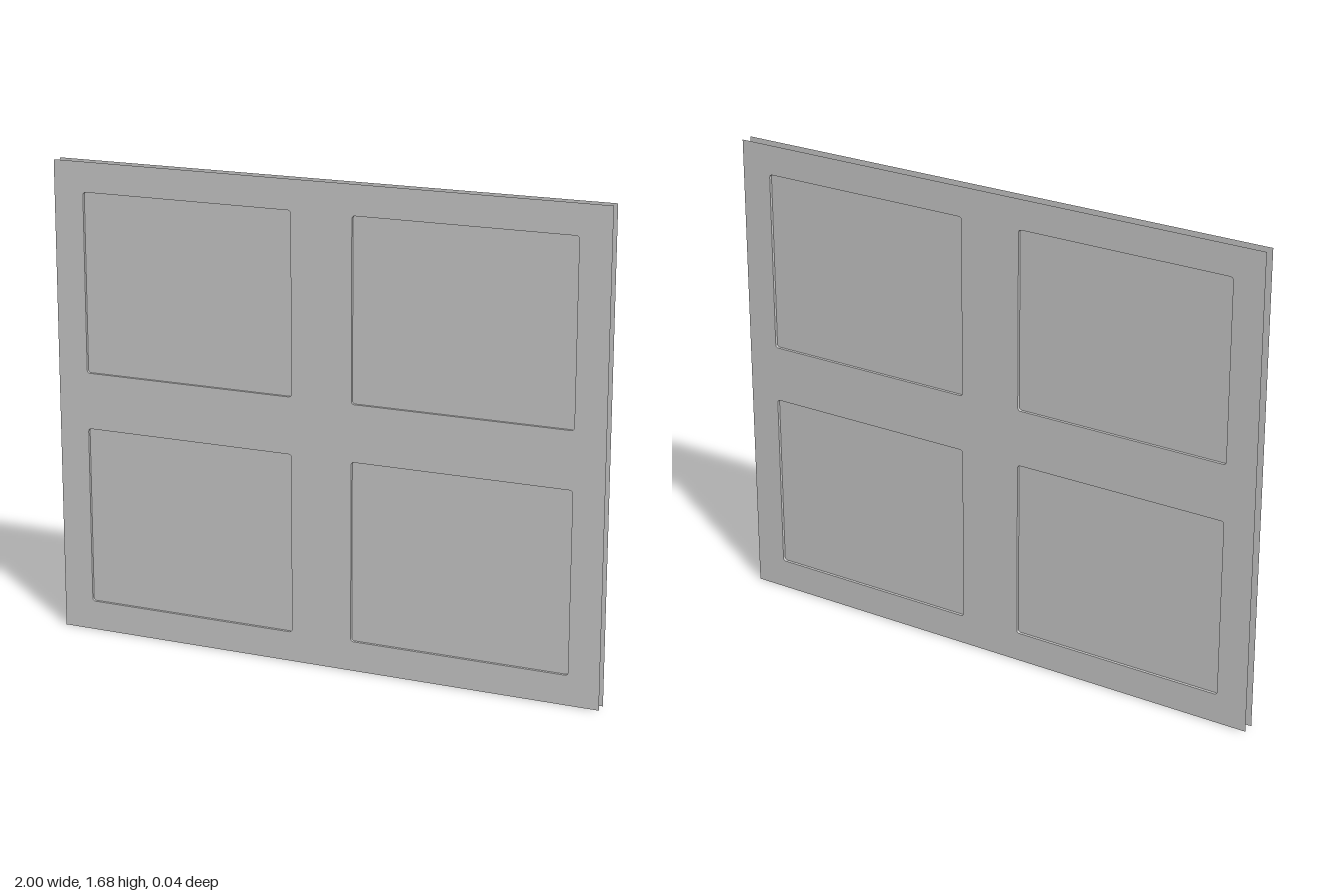
import * as THREE from 'three';

const W = 2, H = 1.68;            // sheet size
const PW = 0.78, PH = 0.635;      // recessed panel size
const FACE = 0.021, FLOOR = 0.011; // z of the sheet and of the panel floors
const RADIUS = 0.01;

const material = new THREE.MeshStandardMaterial({ color: 0xcccccc, side: THREE.DoubleSide });

function mesh(name, geometry, z = 0) {
  const m = new THREE.Mesh(geometry, material);
  m.name = name;
  m.position.z = z;
  return m;
}

// Rounded rectangle centred on (cx, cy), drawn counter-clockwise
function roundedRect(path, cx, cy) {
  const x = PW / 2 - RADIUS, y = PH / 2 - RADIUS;
  path.absarc(cx + x, cy + y, RADIUS, 0, Math.PI / 2);
  path.absarc(cx - x, cy + y, RADIUS, Math.PI / 2, Math.PI);
  path.absarc(cx - x, cy - y, RADIUS, Math.PI, Math.PI * 1.5);
  path.absarc(cx + x, cy - y, RADIUS, Math.PI * 1.5, Math.PI * 2);
  path.closePath();
  return path;
}

// Wall strip round the outline, facing into the recess
function recessWall(points) {
  const positions = [];
  for (let i = 0; i < points.length; i++) {
    const a = points[i], b = points[(i + 1) % points.length];
    if (a.distanceTo(b) < 1e-6) continue;
    positions.push(
      a.x, a.y, FACE, b.x, b.y, FACE, b.x, b.y, FLOOR,
      a.x, a.y, FACE, b.x, b.y, FLOOR, a.x, a.y, FLOOR);
  }
  const g = new THREE.BufferGeometry();
  g.setAttribute('position', new THREE.Float32BufferAttribute(positions, 3));
  g.computeVertexNormals();
  return g;
}

// One skin: a thin sheet with four recessed panels
function createSkin(name) {
  const skin = new THREE.Group();
  skin.name = name;
  const sheet = new THREE.Shape([
    new THREE.Vector2(-W / 2, 0), new THREE.Vector2(W / 2, 0),
    new THREE.Vector2(W / 2, H), new THREE.Vector2(-W / 2, H)]);

  for (const cx of [-0.5, 0.5]) {
    for (const cy of [0.4225, 1.2575]) {
      sheet.holes.push(roundedRect(new THREE.Path(), cx, cy));
      const outline = roundedRect(new THREE.Shape(), cx, cy);
      skin.add(mesh('panelFloor', new THREE.ShapeGeometry(outline, 4), FLOOR));
      skin.add(mesh('panelWall', recessWall(outline.getPoints(4))));
    }
  }
  skin.add(mesh('sheet', new THREE.ShapeGeometry(sheet, 4), FACE));
  return skin;
}

export function createModel() {
  const model = new THREE.Group();
  model.name = 'panelledDoor';
  const back = createSkin('backSkin');
  back.rotation.y = Math.PI;
  model.add(createSkin('frontSkin'), back);
  return model;
}
